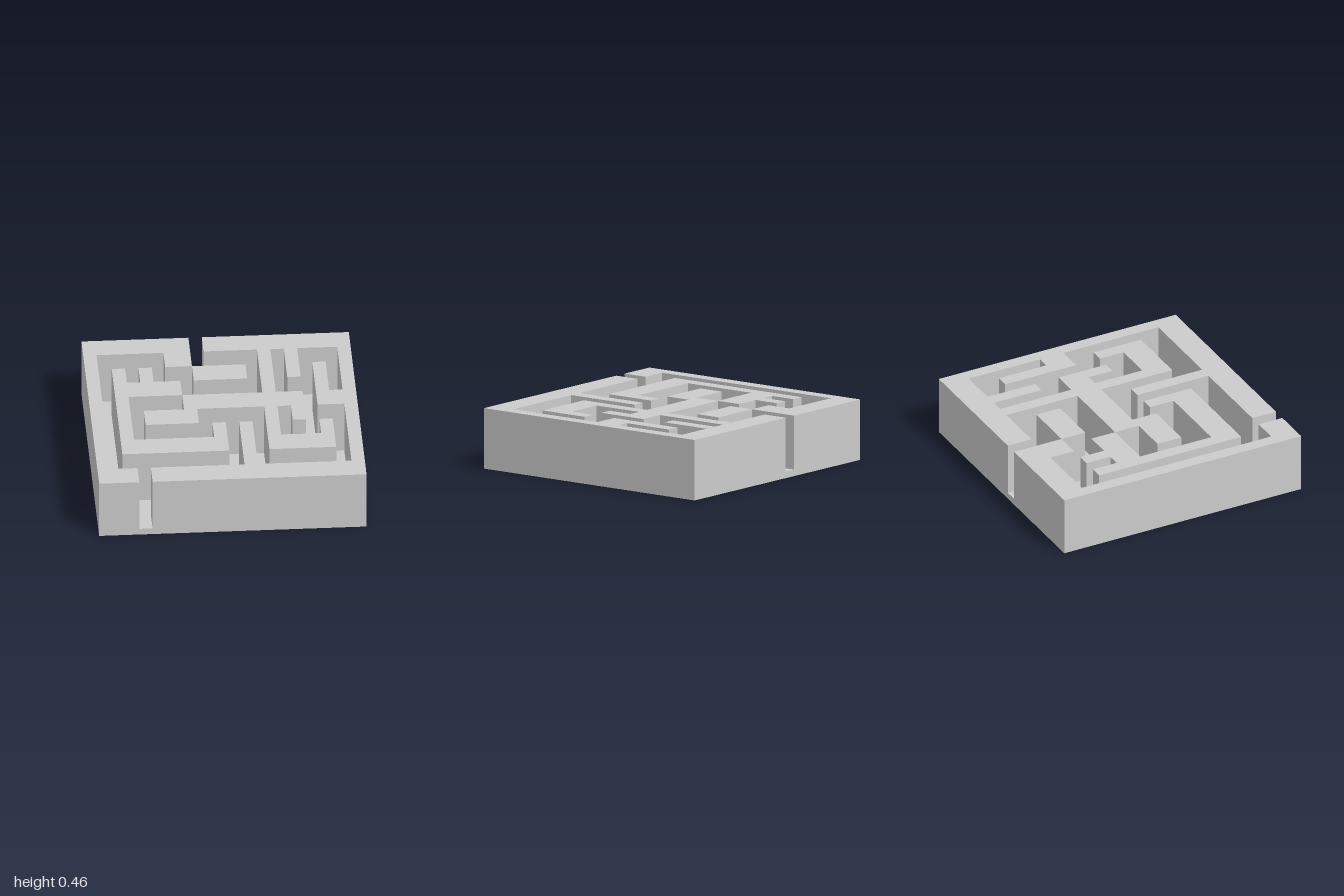
import * as THREE from 'three';
import { mergeGeometries } from 'three/addons/utils/BufferGeometryUtils.js';

// Plan of the maze, back row first: # is wall, . is corridor
const PLAN = [
  '########.###########',
  '#.....##.....#.#...#',
  '#.#.#...####.#.#.#.#',
  '#.#####......#...#.#',
  '#.#....#########.###',
  '#.#.####.....#.#...#',
  '#.#......#.#.#...#.#',
  '#.########.#.#####.#',
  '#..........#.......#',
  '###.################',
];
const CELL_X = 0.1, CELL_Z = 0.2, WALL = 0.46, FLOOR = 0.05;

const isWall = (c, r) => PLAN[r][c] === '#';
const heightAt = (c, r) => (PLAN[r]?.[c] ? (isWall(c, r) ? WALL : FLOOR) : 0);

// Horizontal rectangle, facing up or down
function flat(w, d, x, y, z, up = true) {
  return new THREE.PlaneGeometry(w, d).rotateX(up ? -Math.PI / 2 : Math.PI / 2).translate(x, y, z);
}

// Upright rectangles on each cell side that rises above its neighbour
function sides(c, r, x, z) {
  const h = heightAt(c, r), faces = [];
  for (const [dx, dz] of [[1, 0], [-1, 0], [0, 1], [0, -1]]) {
    const low = heightAt(c + dx, r + dz);
    if (h <= low) continue;
    faces.push(new THREE.PlaneGeometry(dx ? CELL_Z : CELL_X, h - low)
      .rotateY(Math.atan2(dx, dz))
      .translate(x + dx * CELL_X / 2, (h + low) / 2, z + dz * CELL_Z / 2));
  }
  return faces;
}

export function createModel() {
  const group = new THREE.Group();
  group.name = 'maze';
  const material = new THREE.MeshStandardMaterial({ color: 0xcccccc });
  const walls = [], floor = [];

  PLAN.forEach((row, r) => {
    for (let c = 0; c < row.length; c++) {
      const x = -1 + (c + 0.5) * CELL_X, z = -1 + (r + 0.5) * CELL_Z;
      const part = isWall(c, r) ? walls : floor;
      part.push(flat(CELL_X, CELL_Z, x, heightAt(c, r), z), ...sides(c, r, x, z));
    }
  });

  const add = (name, geometry) => {
    const mesh = new THREE.Mesh(geometry, material);
    mesh.name = name;
    group.add(mesh);
  };
  add('mazeWalls', mergeGeometries(walls));
  add('corridorFloor', mergeGeometries(floor));
  add('underside', flat(2, 2, 0, 0, 0, false));
  return group;
}
